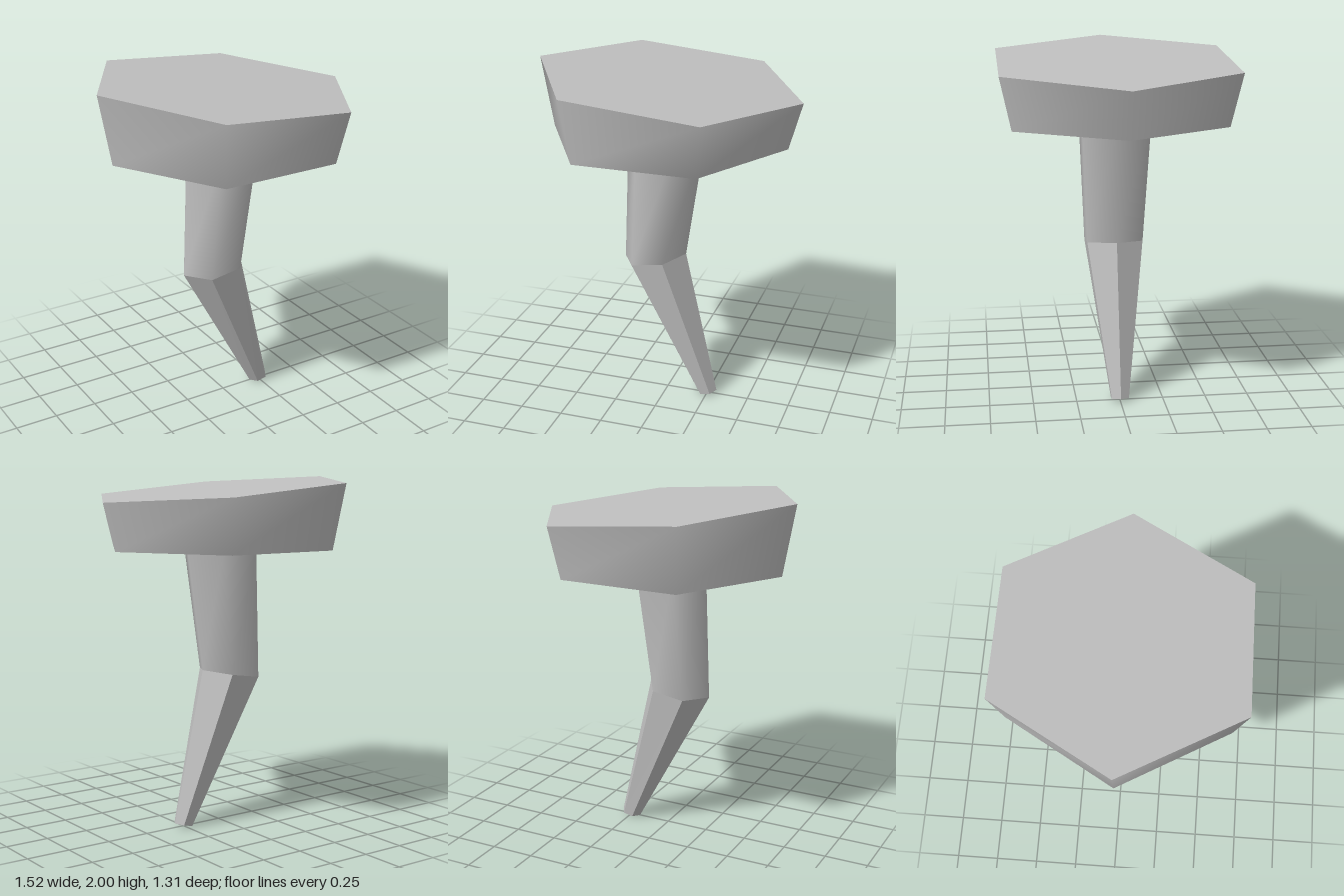
import * as THREE from 'three';

const SIDES = 6;

// Six-sided section between two tilted rings; ring = { x, y, r, slope }
function hexSection(top, bottom, { open = false, flat = false } = {}) {
  let geo = new THREE.CylinderGeometry(1, 1, 2, SIDES, 1, open, Math.PI / 2);
  const pos = geo.attributes.position;
  for (let i = 0; i < pos.count; i++) {
    const ring = pos.getY(i) > 0 ? top : bottom;
    const dx = pos.getX(i) * ring.r;
    pos.setXYZ(i, ring.x + dx, ring.y + dx * ring.slope, pos.getZ(i) * ring.r);
  }
  if (flat) geo = geo.toNonIndexed();
  geo.computeVertexNormals();
  if (!flat) {
    // Blend the normals across the seam of the smooth wall
    const nor = geo.attributes.normal;
    const a = new THREE.Vector3(), b = new THREE.Vector3();
    for (const start of [0, SIDES + 1]) {
      const end = start + SIDES;
      a.fromBufferAttribute(nor, start).add(b.fromBufferAttribute(nor, end)).normalize();
      nor.setXYZ(start, a.x, a.y, a.z);
      nor.setXYZ(end, a.x, a.y, a.z);
    }
  }
  return geo;
}

export function createModel() {
  const group = new THREE.Group();
  group.name = 'bentPeg';
  const grey = new THREE.MeshStandardMaterial({ color: 0xc0c0c0 });
  grey.name = 'grey';

  const add = (name, geo) => {
    const mesh = new THREE.Mesh(geo, grey);
    mesh.name = name;
    group.add(mesh);
  };

  const knee = { x: -0.076, y: 0.87, r: 0.186, slope: 0.16 };

  // Flared head with a sloping top
  add('head', hexSection(
    { x: 0, y: 1.932, r: 0.758, slope: -0.09 },
    { x: 0, y: 1.6, r: 0.685, slope: 0 }));

  // Smooth upper shaft down to the bend
  add('upperShaft', hexSection(
    { x: -0.01, y: 1.6, r: 0.225, slope: 0 }, knee, { open: true }));

  // Faceted tapering tip
  add('lowerShaft', hexSection(
    knee, { x: 0.25, y: 0.012, r: 0.057, slope: 0.21 }, { flat: true }));

  return group;
}
